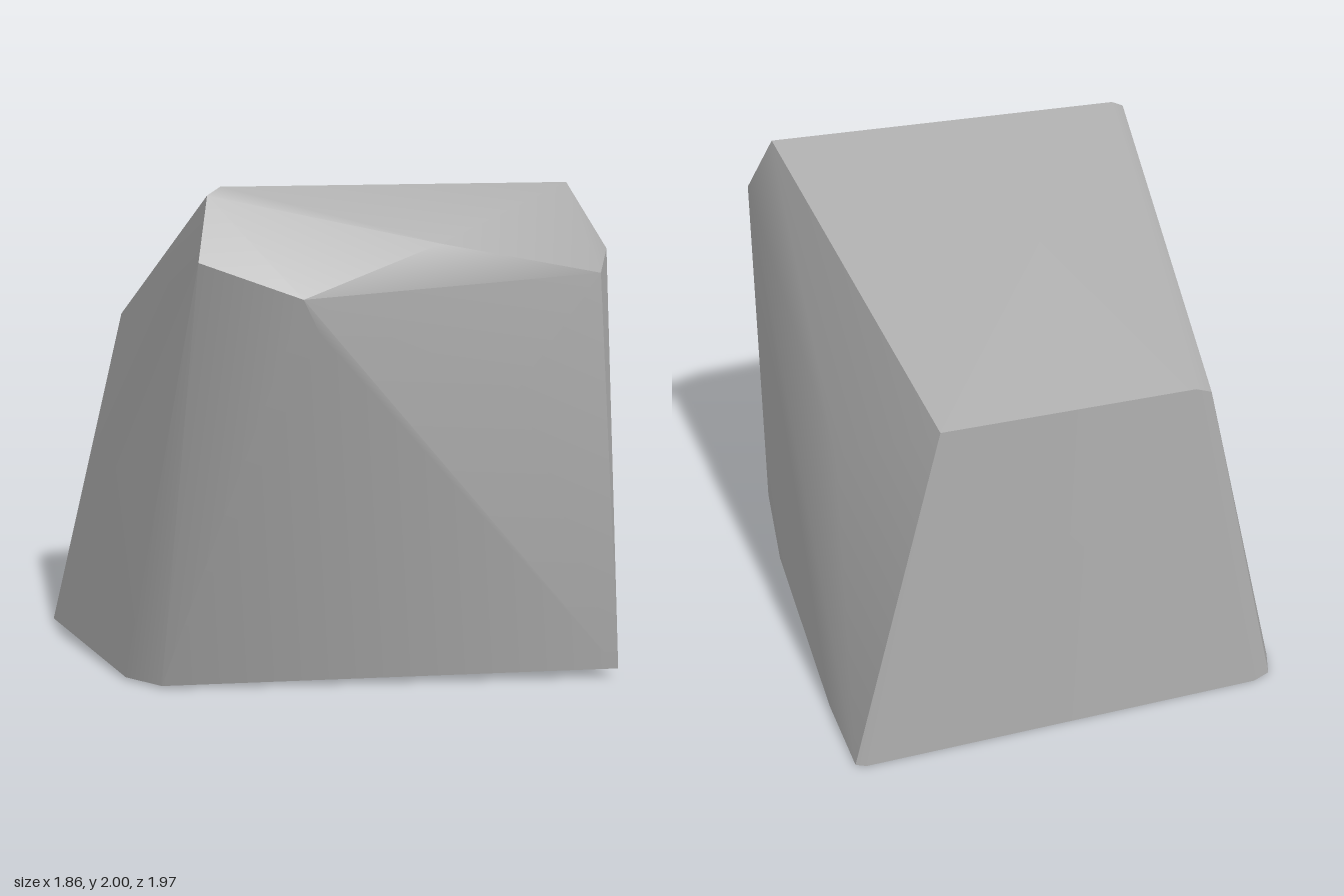
import * as THREE from 'three';
import { ConvexGeometry } from 'three/addons/geometries/ConvexGeometry.js';
import { toCreasedNormals } from 'three/addons/utils/BufferGeometryUtils.js';

const stone = new THREE.MeshStandardMaterial({ color: 0xaaaaaa });
stone.name = 'stone grey';

// Corners of the cut boulder, grouped by region
const corners = {
  base: [
    [0.87, 0.04, 0.97], [0.92, 0.03, 0.45], [0.93, 0.01, -0.6], [0.91, 0, -0.96],
    [0.87, 0, -0.98], [-0.81, 0, -0.99], [-0.89, 0, -0.96], [-0.93, 0.01, -0.86],
    [-0.93, 0.01, 0.08], [-0.84, 0.01, 0.25],
  ],
  slopingTop: [
    [0.78, 2, 0.65], [-0.73, 2, 0.63], [-0.79, 1.97, 0.65],
    [0.51, 1.42, -0.88], [-0.5, 1.42, -0.88], [-0.57, 1.39, -0.87],
  ],
  frontBevel: [
    [0.87, 1.74, 0.81], [0.72, 1.66, 0.98], [0.02, 1.79, 0.94],
    [-0.56, 1.61, 0.97], [-0.89, 1.74, 0.8],
  ],
  bulges: [[-0.49, 1.48, 0.965], [0.35, 1.23, 0.975], [0.8, 1.08, -0.4]],
};

export function createModel() {
  const group = new THREE.Group();
  group.name = 'boulder';
  const points = Object.values(corners).flat().map((p) => new THREE.Vector3(...p));

  // Soft shading across shallow facets, sharp at the main edges
  const geometry = toCreasedNormals(new ConvexGeometry(points), 0.55);
  const rock = new THREE.Mesh(geometry, stone);
  rock.name = 'rock';
  group.add(rock);
  return group;
}
